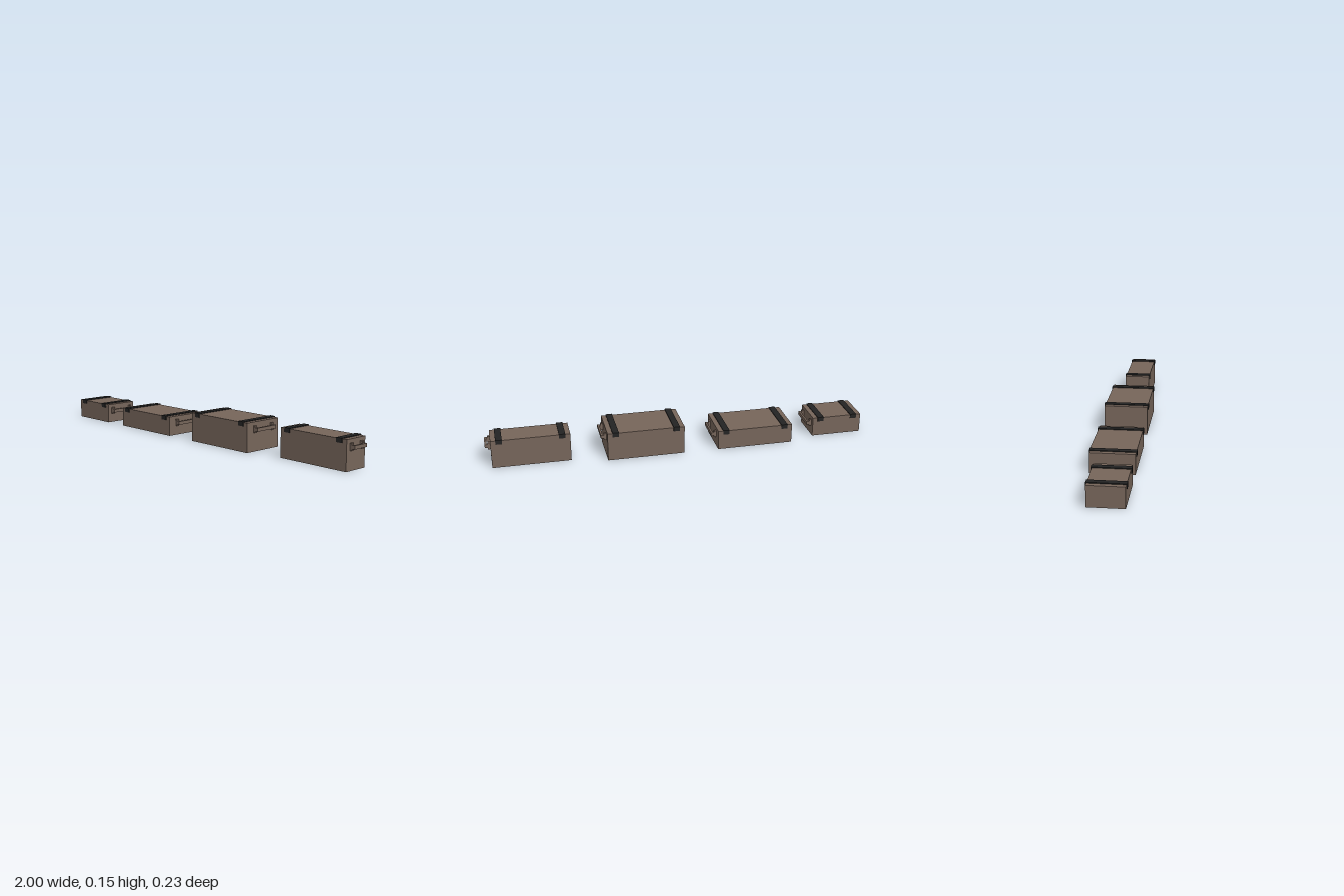
import * as THREE from 'three';

const brown = new THREE.MeshStandardMaterial({ color: 0x76655a });
brown.name = 'brown wood';
const black = new THREE.MeshStandardMaterial({ color: 0x232323 });
black.name = 'black strap';

// Box given by its minimum and maximum along each axis
function block(name, material, x0, x1, y0, y1, z0, z1) {
  const mesh = new THREE.Mesh(new THREE.BoxGeometry(x1 - x0, y1 - y0, z1 - z0), material);
  mesh.position.set((x0 + x1) / 2, (y0 + y1) / 2, (z0 + z1) / 2);
  mesh.name = name;
  return mesh;
}

// Strap over the lid with short ends folded down the front and back
function makeStrap(x, height, z0, z1) {
  const strap = new THREE.Group();
  strap.name = 'strap';
  const t = 0.004, w = 0.0165, drop = 0.019;
  strap.add(block('strapTop', black, x - w, x + w, height, height + t, z0 - t, z1 + t));
  strap.add(block('strapFrontEnd', black, x - w, x + w, height - drop, height, z1, z1 + t));
  strap.add(block('strapBackEnd', black, x - w, x + w, height - drop, height, z0 - t, z0));
  return strap;
}

// Handle: two mounting plates, two arms and a square grip bar
function makeHandle(x, y, z, half) {
  const handle = new THREE.Group();
  handle.name = 'handle';
  for (const side of [-1, 1]) {
    const c = z + side * (half - 0.007);
    handle.add(block('handleMount', brown, x, x + 0.012, y - 0.018, y + 0.018, c - 0.007, c + 0.007));
    handle.add(block('handleArm', brown, x + 0.012, x + 0.018, y - 0.009, y + 0.009, c - 0.007, c + 0.007));
  }
  handle.add(block('handleGrip', brown, x + 0.018, x + 0.028, y - 0.009, y + 0.009, z - half, z + half));
  return handle;
}

function makeCrate({ name, x0, x1, height, z0, z1, handleY, handleHalf }) {
  const crate = new THREE.Group();
  crate.name = name;
  crate.add(block('crateBody', brown, x0, x1, 0, height, z0, z1));
  for (const x of [x0 + 0.042, x1 - 0.042]) crate.add(makeStrap(x, height, z0, z1));
  crate.add(makeHandle(x1, handleY, (z0 + z1) / 2, handleHalf));
  return crate;
}

export function createModel() {
  const model = new THREE.Group();
  model.name = 'crates';
  const crates = [
    { name: 'shortCrate', x0: -1, x1: -0.732, height: 0.102, z0: -0.067, z1: 0.112, handleY: 0.067, handleHalf: 0.067 },
    { name: 'lowCrate', x0: -0.598, x1: -0.196, height: 0.102, z0: -0.112, z1: 0.112, handleY: 0.067, handleHalf: 0.067 },
    { name: 'tallCrate', x0: -0.015, x1: 0.387, height: 0.15, z0: -0.112, z1: 0.112, handleY: 0.114, handleHalf: 0.067 },
    { name: 'narrowCrate', x0: 0.57, x1: 0.972, height: 0.15, z0: -0.067, z1: 0.067, handleY: 0.114, handleHalf: 0.044 },
  ];
  for (const crate of crates) model.add(makeCrate(crate));
  return model;
}
